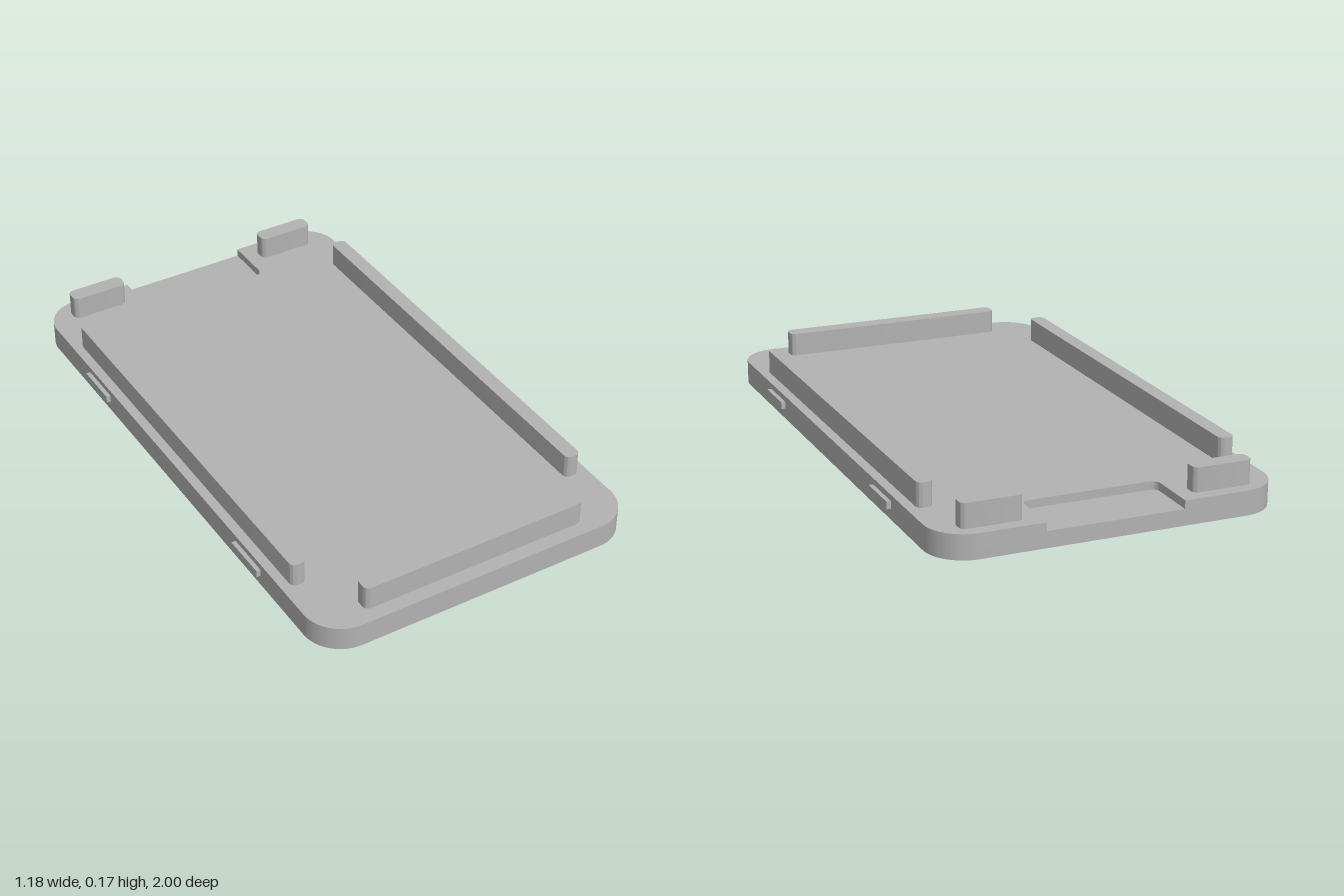
import * as THREE from 'three';
import { toCreasedNormals } from 'three/addons/utils/BufferGeometryUtils.js';

const W = 0.577, L = 1, R = 0.13;        // plate half width, half length, corner radius
const FLOOR = 0.055, TOP = 0.083, RAIL_TOP = 0.165;

// Plate outline (shape y points to the back); optionally with the back recess cut out
function plateShape(recess) {
  const s = new THREE.Shape();
  s.moveTo(-W + R, -L);
  s.lineTo(W - R, -L);
  s.absarc(W - R, -L + R, R, -Math.PI / 2, 0);
  s.lineTo(W, L - R);
  s.absarc(W - R, L - R, R, 0, Math.PI / 2);
  if (recess) {
    const n = 0.232, d = 0.81, r = 0.03;
    s.lineTo(n, L);
    s.lineTo(n, d + r);
    s.quadraticCurveTo(n, d, n - r, d);
    s.lineTo(-n + r, d);
    s.quadraticCurveTo(-n, d, -n, d + r);
    s.lineTo(-n, L);
  }
  s.lineTo(-W + R, L);
  s.absarc(-W + R, L - R, R, Math.PI / 2, Math.PI);
  s.lineTo(-W, -L + R);
  s.absarc(-W + R, -L + R, R, Math.PI, Math.PI * 1.5);
  return s;
}

// Rounded bar outline of size w x d
function barShape(w, d, r) {
  const s = new THREE.Shape(), x = w / 2, y = d / 2;
  s.moveTo(-x + r, -y);
  s.lineTo(x - r, -y);
  s.absarc(x - r, -y + r, r, -Math.PI / 2, 0);
  s.absarc(x - r, y - r, r, 0, Math.PI / 2);
  s.absarc(-x + r, y - r, r, Math.PI / 2, Math.PI);
  s.absarc(-x + r, -y + r, r, Math.PI, Math.PI * 1.5);
  return s;
}

// Stand an outline up between two heights
function extrudeUp(shape, y0, y1) {
  const g = new THREE.ExtrudeGeometry(shape, { depth: y1 - y0, bevelEnabled: false, curveSegments: 12 });
  g.rotateX(-Math.PI / 2);
  g.translate(0, y0, 0);
  return toCreasedNormals(g, 0.6);
}

export function createModel() {
  const group = new THREE.Group();
  const grey = new THREE.MeshStandardMaterial({ color: 0xb2b2b2 });
  grey.name = 'grey';

  const add = (name, geometry, x = 0, y = 0, z = 0) => {
    const mesh = new THREE.Mesh(geometry, grey);
    mesh.name = name;
    mesh.position.set(x, y, z);
    group.add(mesh);
  };

  // Base plate: solid lower layer, upper layer with the recess
  add('basePlate', extrudeUp(plateShape(false), 0, FLOOR));
  add('recessedPlate', extrudeUp(plateShape(true), FLOOR, TOP));

  // Front lip
  add('frontRail', extrudeUp(barShape(0.81, 0.06, 0.02), TOP, RAIL_TOP), 0, 0, 0.92);

  // Mirrored side rails, back posts and edge tabs
  const sideRail = extrudeUp(barShape(0.053, 1.49, 0.02), TOP, RAIL_TOP);
  const backPost = extrudeUp(barShape(0.203, 0.06, 0.02), TOP, RAIL_TOP);
  const tab = new THREE.BoxGeometry(0.03, 0.025, 0.16);
  for (const [side, s] of [['left', 1], ['right', -1]]) {
    add(side + 'Rail', sideRail, s * 0.517);
    add(side + 'BackPost', backPost, s * 0.387, 0, -0.925);
    add(side + 'FrontTab', tab, s * 0.577, 0.05, 0.525);
    add(side + 'BackTab', tab, s * 0.577, 0.05, -0.525);
  }
  return group;
}
